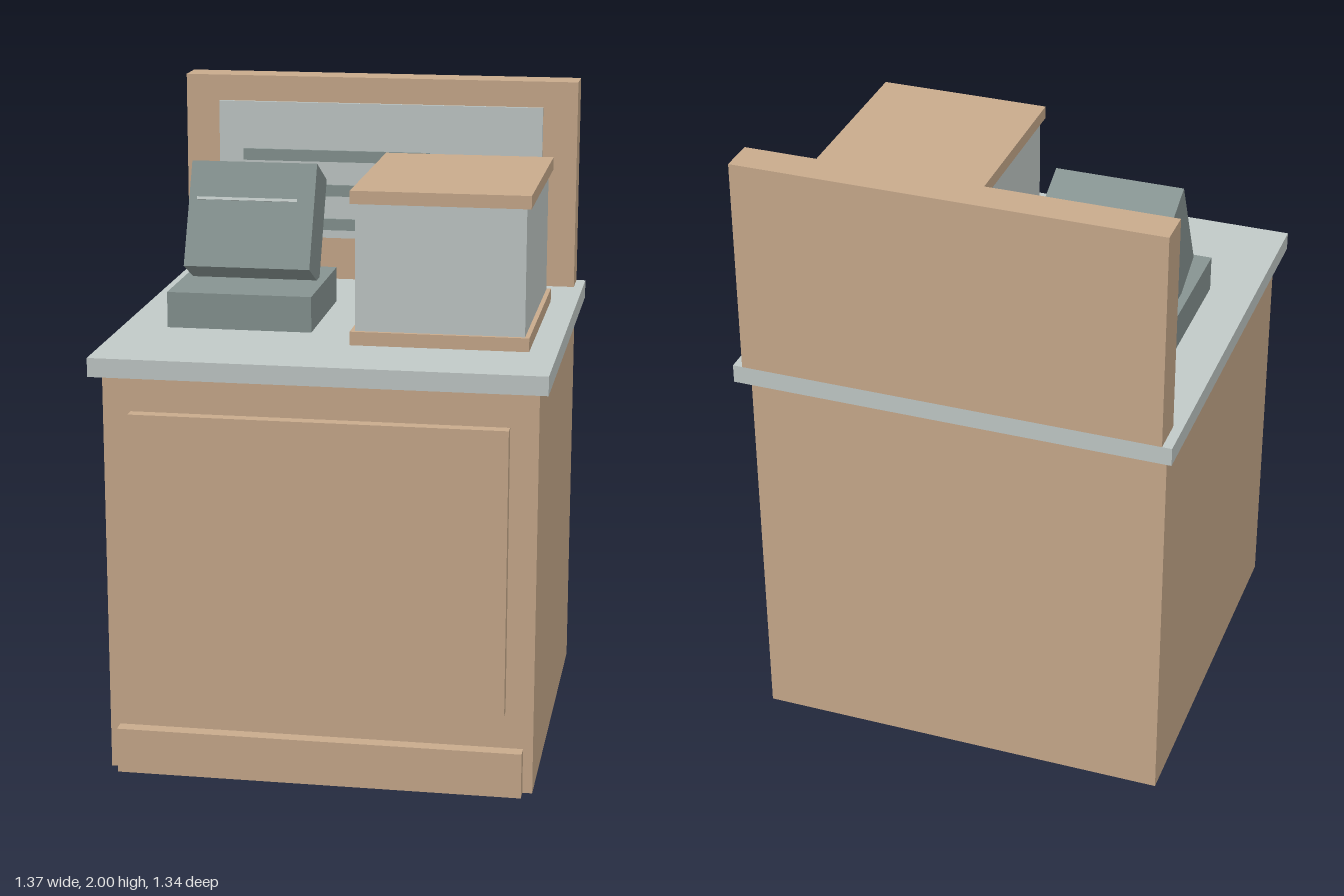
import * as THREE from 'three';

export function createModel() {
  const model = new THREE.Group();
  model.name = 'serviceCounter';

  const flat = (name, color) => {
    const m = new THREE.MeshStandardMaterial({ color });
    m.name = name;
    return m;
  };
  const wood = flat('wood', 0xc8aa8c);
  const pale = flat('paleGrey', 0xc1c9c7);
  const grey = flat('grey', 0x869391);

  // Box given by its extents along each axis
  const block = (name, material, [x0, x1], [y0, y1], [z0, z1], parent = model) => {
    const mesh = new THREE.Mesh(new THREE.BoxGeometry(x1 - x0, y1 - y0, z1 - z0), material);
    mesh.position.set((x0 + x1) / 2, (y0 + y1) / 2, (z0 + z1) / 2);
    mesh.name = name;
    parent.add(mesh);
    return mesh;
  };
  const group = (name) => {
    const g = new THREE.Group();
    g.name = name;
    model.add(g);
    return g;
  };

  // Counter
  const counter = group('counter');
  block('cabinet', wood, [-0.655, 0.655], [0, 1.26], [-0.613, 0.613], counter);
  block('frontPanel', wood, [-0.57, 0.57], [0.26, 1.145], [0.613, 0.652], counter);
  block('kickBoard', wood, [-0.625, 0.625], [0, 0.142], [0.613, 0.657], counter);
  block('countertop', pale, [-0.685, 0.685], [1.26, 1.318], [-0.67, 0.67], counter);

  // Back board with notice panel, printed lines and plaque
  const board = group('backBoard');
  block('board', wood, [-0.655, 0.655], [1.318, 2], [-0.67, -0.557], board);
  block('noticePanel', pale, [-0.542, 0.542], [1.46, 1.915], [-0.557, -0.545], board);
  for (const y of [1.738, 1.622, 1.507]) {
    block('noticeLine', grey, [-0.46, 0.17], [y - 0.019, y + 0.019], [-0.545, -0.536], board);
  }
  block('noticePlaque', wood, [0.285, 0.455], [1.49, 1.66], [-0.545, -0.537], board);

  // Display case
  const display = group('displayCase');
  block('caseBase', wood, [0.056, 0.599], [1.318, 1.36], [-0.327, 0.383], display);
  block('caseBody', pale, [0.07, 0.585], [1.36, 1.75], [-0.313, 0.37], display);
  block('caseLid', wood, [0.056, 0.599], [1.75, 1.79], [-0.327, 0.383], display);

  // Terminal: plinth with a screen leaning back
  const terminal = group('terminal');
  block('terminalBase', grey, [-0.542, -0.088], [1.318, 1.43], [-0.218, 0.24], terminal);
  const head = new THREE.Group();
  head.name = 'terminalHead';
  head.position.set(-0.315, 1.605, -0.033);
  head.rotation.x = THREE.MathUtils.degToRad(-25);
  terminal.add(head);
  block('screen', grey, [-0.2, 0.2], [-0.171, 0.171], [-0.094, 0.094], head);
  block('screenLine', pale, [-0.175, 0.145], [0.045, 0.054], [0.094, 0.097], head);

  return model;
}
